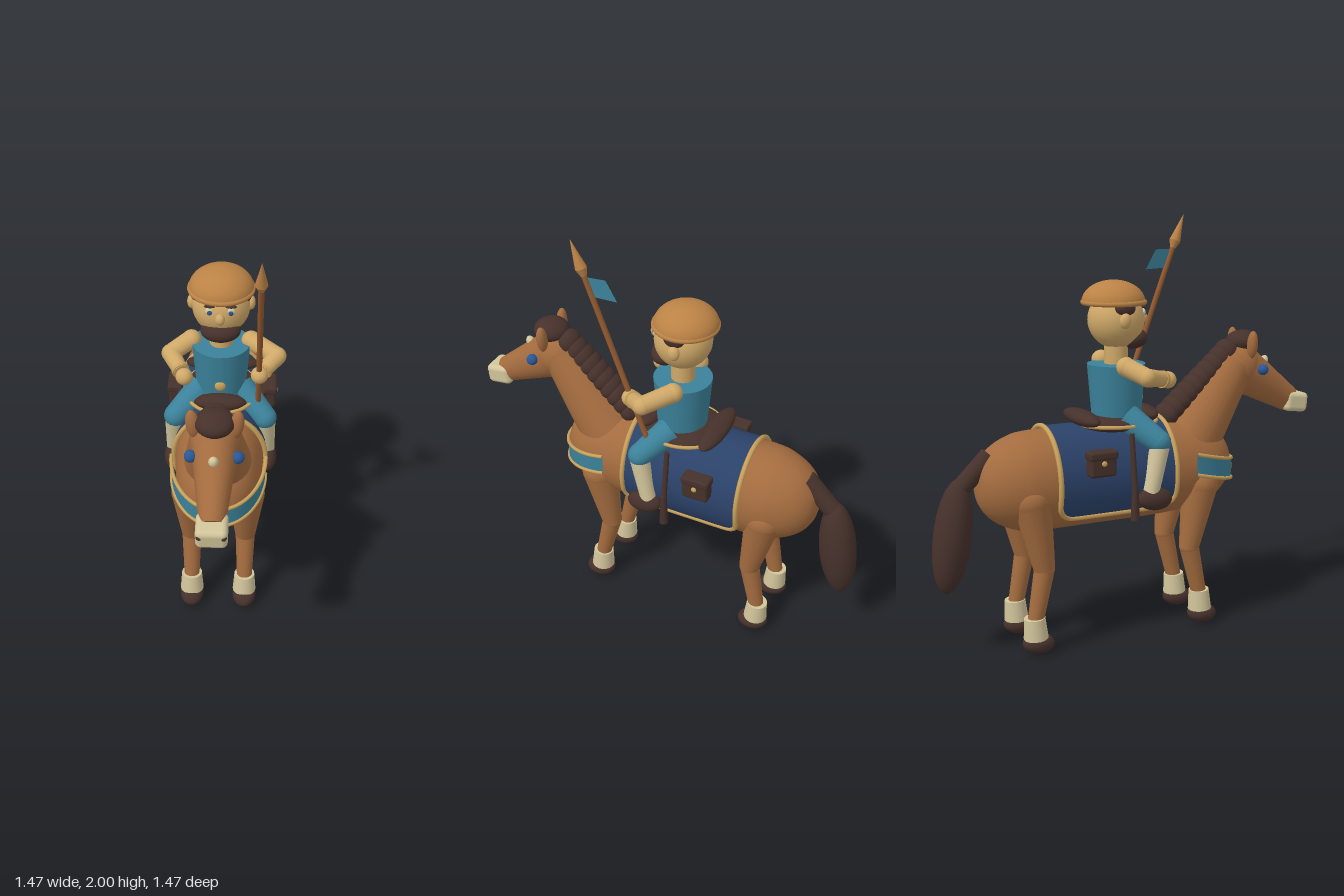
import * as THREE from 'three';
import { RoundedBoxGeometry } from 'three/addons/geometries/RoundedBoxGeometry.js';

const mat = (name, color, side = THREE.FrontSide) => {
  const m = new THREE.MeshStandardMaterial({ color, side });
  m.name = name;
  return m;
};
const V = (x, y, z) => new THREE.Vector3(x, y, z);

export function createModel() {
  const coat = mat('chestnut coat', 0xa46c3f);
  const dark = mat('dark brown', 0x46312b);
  const navy = mat('navy cloth', 0x2b4269, THREE.DoubleSide);
  const teal = mat('teal cloth', 0x3b8199, THREE.DoubleSide);
  const gold = mat('gold trim', 0xc8a05a);
  const skin = mat('skin', 0xcfa868);
  const cap = mat('tan leather', 0xbb8245);
  const cream = mat('cream', 0xd2c59b);
  const blue = mat('eye blue', 0x2a5796);
  const wood = mat('lance wood', 0x93592f);

  const root = new THREE.Group();
  root.name = 'mountedRider';
  // Everything is built facing +z, then turned to the left
  const horse = new THREE.Group(), rider = new THREE.Group();
  horse.name = 'horse';
  rider.name = 'rider';
  root.add(horse, rider);
  horse.rotation.y = rider.rotation.y = Math.PI / 4;

  let target = horse;
  const add = (name, geo, m, p = V(0, 0, 0), rx = 0) => {
    const mesh = new THREE.Mesh(geo, m);
    mesh.name = name;
    mesh.position.copy(p);
    mesh.rotation.x = rx;
    target.add(mesh);
    return mesh;
  };
  const ball = (name, m, p, x, y = x, z = x, rx = 0) => {
    const mesh = add(name, new THREE.SphereGeometry(1, 28, 18), m, p, rx);
    mesh.scale.set(x, y, z);
    return mesh;
  };
  // Tapered cylinder from a to b
  const limb = (name, m, a, b, ra, rb) => {
    const d = b.clone().sub(a);
    const mesh = add(name, new THREE.CylinderGeometry(rb, ra, d.length(), 28), m, a.clone().lerp(b, 0.5));
    mesh.quaternion.setFromUnitVectors(V(0, 1, 0), d.normalize());
    return mesh;
  };
  const tube = (name, m, pts, r, closed = false) =>
    add(name, new THREE.TubeGeometry(new THREE.CatmullRomCurve3(pts, closed), 120, r, 8, closed), m);
  // Open sheet from rows of points
  const sheet = (name, m, rows) => {
    const n = rows[0].length, pos = [], idx = [];
    rows.forEach((row, i) => row.forEach((p, j) => {
      pos.push(p.x, p.y, p.z);
      if (i && j) {
        const a = (i - 1) * n + j - 1;
        idx.push(a, a + n, a + 1, a + 1, a + n, a + n + 1);
      }
    }));
    const g = new THREE.BufferGeometry();
    g.setAttribute('position', new THREE.Float32BufferAttribute(pos, 3));
    g.setIndex(idx);
    g.computeVertexNormals();
    return add(name, g, m);
  };
  const sides = (f) => [1, -1].forEach(f);

  // Barrel
  const outline = new THREE.SplineCurve([[0, -0.79], [0.09, -0.775], [0.165, -0.72], [0.215, -0.63], [0.236, -0.52],
    [0.237, -0.2], [0.237, 0.05], [0.23, 0.2], [0.21, 0.34], [0.17, 0.43], [0.1, 0.495], [0, 0.52]]
    .map(([r, s]) => new THREE.Vector2(r, s))).getPoints(60);
  outline.forEach((p) => { p.x = Math.max(p.x, 0); });
  const barrelGeo = new THREE.LatheGeometry(outline, 40).rotateX(Math.PI / 2).scale(0.9, 1, 1);
  add('body', barrelGeo, coat, V(0, 0.8, 0));

  // Neck and head
  limb('neck', coat, V(0, 0.86, 0.27), V(0, 1.28, 0.56), 0.165, 0.105);
  const head = limb('head', coat, V(0, 1.26, 0.58), V(0, 1.07, 0.89), 0.122, 0.065);
  head.scale.x = 0.86;
  ball('skull', coat, V(0, 1.26, 0.58), 0.107, 0.122, 0.122);
  add('muzzle', new RoundedBoxGeometry(0.135, 0.1, 0.13, 4, 0.025), cream, V(0, 1.06, 0.91), 0.12);
  ball('forehead star', cream, V(0, 1.275, 0.735), 0.022, 0.032, 0.022, 0.5);
  ball('forelock', dark, V(0, 1.385, 0.61), 0.085, 0.055, 0.085);
  sides((k) => {
    ball('nostril', dark, V(k * 0.05, 1.07, 0.965), 0.014);
    ball('horse eye', blue, V(k * 0.1, 1.25, 0.67), 0.027);
    ball('ear', coat, V(k * 0.092, 1.375, 0.61), 0.03, 0.07, 0.026).rotation.z = -k * 0.12;
  });

  // Mane
  for (let i = 0; i < 10; i++) {
    const t = i / 9;
    ball('mane tuft', dark, V(0, 1.05 + 0.29 * t, 0.185 + 0.33 * t), 0.075 - 0.008 * t, 0.06, 0.055);
  }

  // Tail
  limb('tail dock', dark, V(0, 0.94, -0.72), V(0, 0.78, -0.88), 0.045, 0.045);
  ball('tail', dark, V(0, 0.58, -0.905), 0.093, 0.268, 0.088, 0.15);

  // Legs: hip, knee, fetlock and hoof positions along the body
  [['front', 0.3, 0.245, 0.305, 0.315, 0.72], ['hind', -0.57, -0.515, -0.565, -0.555, 0.74]].forEach(([n, hip, knee, fet, hoof, top]) =>
    sides((k) => {
      const x = k * 0.132, K = V(x, 0.41, knee);
      ball(n + ' shoulder', coat, V(x, top, hip), 0.09);
      limb(n + ' upper leg', coat, V(x, top, hip), K, 0.09, 0.05);
      ball(n + ' knee', coat, K, 0.049);
      limb(n + ' lower leg', coat, K, V(x, 0.15, fet), 0.048, 0.037);
      limb(n + ' cuff', cream, V(x, 0.08, fet + 0.003), V(x, 0.18, fet - 0.003), 0.058, 0.05);
      ball(n + ' hoof', dark, V(x, 0.053, hoof + 0.005), 0.058, 0.048, 0.077, 0.1);
    }));

  // Saddle cloth with rounded lower corners and gold edging
  const reach = 2.24, mid = -0.165, half = 0.295, rc = 0.08, rows = [];
  const hang = (a, s) => V(0.221 * Math.sin(a), 0.8 + 0.251 * Math.cos(a), s);
  for (let i = -24; i <= 24; i++) {
    const a = reach * Math.sin((i / 24) * Math.PI / 2);
    const d = Math.min(rc, (reach - Math.abs(a)) * 0.235);
    const h = half - rc + Math.sqrt(rc * rc - (rc - d) ** 2);
    rows.push([-1, -0.5, 0, 0.5, 1].map((t) => hang(a, mid + t * h)));
  }
  sheet('saddle cloth', navy, rows);
  const border = [...rows.map((r) => r[4]), ...rows.map((r) => r[0]).reverse()];
  tube('cloth edging', gold, border, 0.012, true);

  // Breast strap
  const strap = (dy) => Array.from({ length: 33 }, (_, i) => {
    const a = (i / 32 - 0.5) * Math.PI;
    return V(0.222 * Math.sin(a), 0.84 - 0.075 * Math.cos(a) + dy, 0.235 + 0.292 * Math.cos(a));
  });
  sheet('breast strap', teal, [strap(-0.05), strap(0.05)]);
  sides((k) => tube('strap edging', gold, strap(k * 0.05), 0.009));
  ball('strap medallion', gold, V(0, 0.763, 0.532), 0.04, 0.04, 0.016);

  // Saddle, bags and stirrup leathers
  ball('saddle seat', dark, V(0, 1.045, -0.1), 0.17, 0.045, 0.2);
  const rim = add('saddle rim', new THREE.TorusGeometry(0.19, 0.009, 8, 48).rotateX(Math.PI / 2), gold, V(0, 1.045, -0.09));
  rim.scale.set(0.93, 1, 1.05);
  ball('cantle', dark, V(0, 1.075, -0.265), 0.18, 0.036, 0.055);
  ball('pommel', dark, V(0, 1.075, 0.06), 0.12, 0.038, 0.05);
  sides((k) => {
    add('saddlebag', new RoundedBoxGeometry(0.065, 0.11, 0.13, 3, 0.015), dark, V(k * 0.235, 0.9, -0.27));
    add('saddlebag flap', new RoundedBoxGeometry(0.075, 0.04, 0.14, 3, 0.012), dark, V(k * 0.236, 0.945, -0.27));
    ball('bag clasp', gold, V(k * 0.27, 0.91, -0.27), 0.008, 0.013, 0.013);
    limb('stirrup leather', dark, V(k * 0.235, 0.76, -0.1), V(k * 0.2, 1.02, -0.1), 0.014, 0.012);
    limb('stirrup', dark, V(k * 0.235, 0.615, -0.1), V(k * 0.235, 0.78, -0.1), 0.021, 0.015);
  });

  // Rider torso
  target = rider;
  limb('tunic', teal, V(0, 1.07, -0.085), V(0, 1.32, -0.085), 0.118, 0.138);
  limb('rider neck', skin, V(0, 1.3, -0.085), V(0, 1.42, -0.085), 0.056, 0.056);
  ball('belt button', gold, V(0, 1.15, 0.038), 0.026, 0.026, 0.014);

  // Rider head
  ball('rider head', skin, V(0, 1.525, -0.085), 0.134);
  ball('nose', skin, V(0, 1.53, 0.055), 0.022, 0.028, 0.022);
  ball('beard', dark, V(0, 1.437, -0.005), 0.093, 0.053, 0.07);
  sides((k) => {
    ball('rider ear', skin, V(k * 0.135, 1.53, -0.1), 0.022, 0.036, 0.028);
    ball('sideburn', dark, V(k * 0.112, 1.585, -0.09), 0.03, 0.036, 0.05);
    ball('eye white', cream, V(k * 0.048, 1.558, 0.03), 0.02, 0.02, 0.013);
    ball('iris', blue, V(k * 0.048, 1.556, 0.042), 0.011, 0.012, 0.006);
    ball('brow', dark, V(k * 0.048, 1.585, 0.032), 0.026, 0.007, 0.011);
  });
  const dome = add('cap', new THREE.SphereGeometry(0.15, 36, 12, 0, Math.PI * 2, 0, Math.PI / 2), cap, V(0, 1.605, -0.098));
  dome.scale.y = 0.7;
  add('cap underside', new THREE.CircleGeometry(0.15, 36).rotateX(Math.PI / 2), cap, V(0, 1.605, -0.098));
  add('cap band', new THREE.TorusGeometry(0.144, 0.012, 10, 40).rotateX(Math.PI / 2), cap, V(0, 1.607, -0.096));

  // Rider legs
  sides((k) => {
    const hip = V(k * 0.09, 1.07, -0.07), knee = V(k * 0.215, 0.97, 0.035);
    limb('thigh', teal, hip, knee, 0.07, 0.055);
    ball('knee', teal, knee, 0.055);
    limb('shin', cream, V(k * 0.218, 0.95, 0.035), V(k * 0.228, 0.73, -0.015), 0.047, 0.038);
    ball('boot', dark, V(k * 0.23, 0.705, 0.005), 0.047, 0.055, 0.088, 0.1);
  });

  // Arms: shoulder, elbow, hand
  [[V(0.14, 1.32, -0.1), V(0.262, 1.3, -0.005), V(0.182, 1.26, 0.095)],
    [V(-0.14, 1.32, -0.1), V(-0.235, 1.28, -0.04), V(-0.163, 1.25, 0.105)]].forEach(([s, e, h]) => {
    const wrist = e.clone().lerp(h, 0.8);
    ball('shoulder', skin, s, 0.046);
    limb('upper arm', skin, s, e, 0.045, 0.042);
    ball('elbow', skin, e, 0.043);
    limb('forearm', skin, e, wrist, 0.043, 0.036);
    limb('wrist cuff', gold, e.clone().lerp(h, 0.68), e.clone().lerp(h, 0.78), 0.041, 0.041);
    ball('hand', skin, h, 0.04);
  });

  // Lance with pennant
  const at = (y) => V(0.18, y, 0.017 + (y - 1.06) * 0.373);
  limb('lance shaft', wood, at(1.03), at(1.88), 0.013, 0.013);
  limb('lance socket', cap, at(1.84), at(1.875), 0.014, 0.027);
  limb('lance point', cap, at(1.875), at(2.0), 0.027, 0.001);
  sheet('pennant', teal, [[at(1.835), V(0.168, 1.835, 0.21)], [at(1.745), V(0.168, 1.74, 0.155)]]);

  return root;
}
